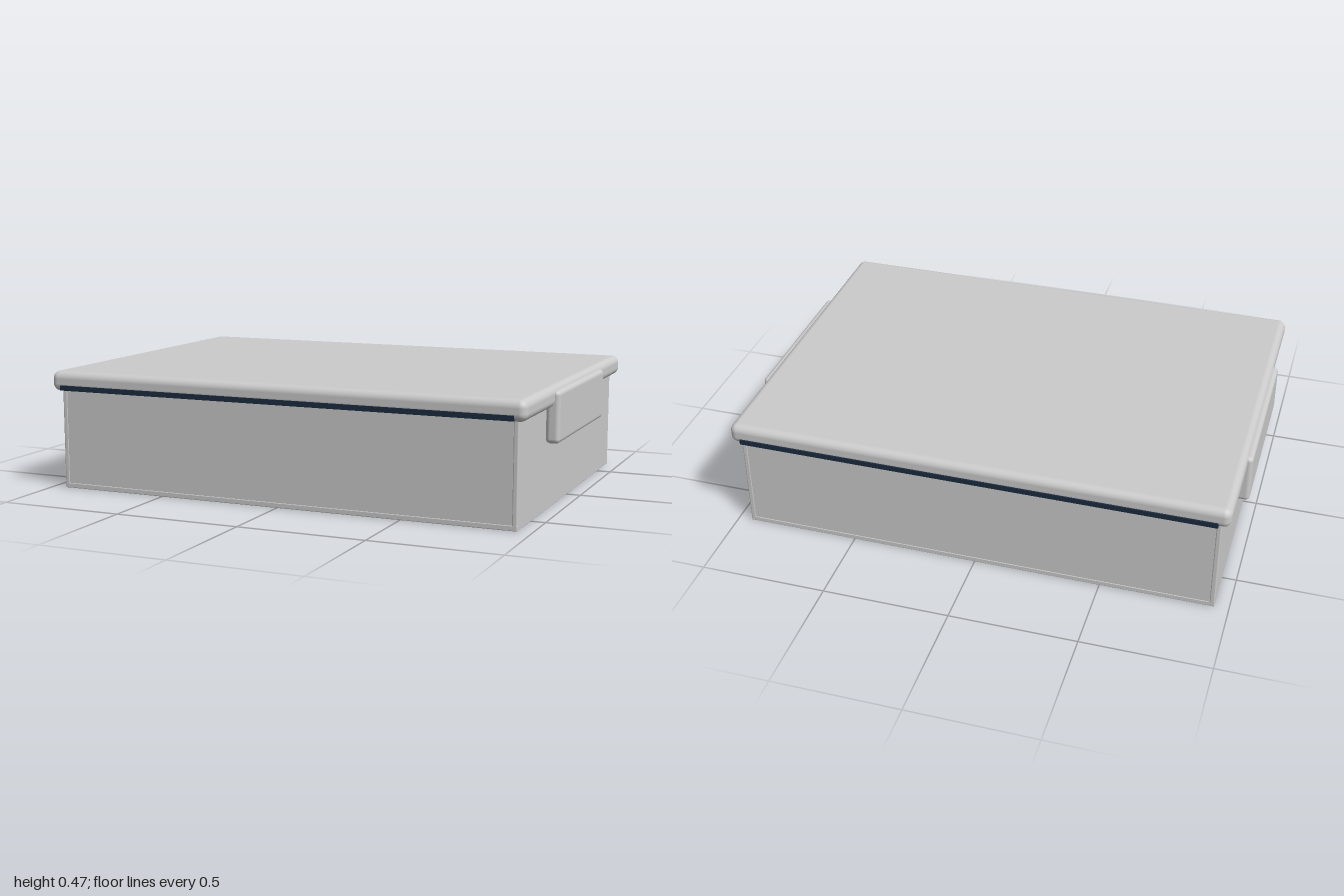
import * as THREE from 'three';
import { RoundedBoxGeometry } from 'three/addons/geometries/RoundedBoxGeometry.js';

const grey = new THREE.MeshStandardMaterial({ color: 0xcccccc });
const navy = new THREE.MeshStandardMaterial({ color: 0x1c2c40 });

export function createModel() {
  const model = new THREE.Group();

  // Adds a box with softened edges, centred on (x, y, z)
  function part(name, [w, h, d], [x, y, z], radius, material = grey) {
    const geometry = radius
      ? new RoundedBoxGeometry(w, h, d, 4, radius)
      : new THREE.BoxGeometry(w, h, d);
    const mesh = new THREE.Mesh(geometry, material);
    mesh.name = name;
    mesh.position.set(x, y, z);
    model.add(mesh);
  }

  // Tray: floor with four walls
  part('floor', [1.89, 0.02, 1.35], [0, 0.01, 0], 0.003);
  for (const s of [1, -1]) {
    const side = s > 0 ? 'left' : 'right';
    const end = s > 0 ? 'front' : 'back';
    part(side + 'Wall', [0.02, 0.42, 1.35], [s * 0.935, 0.21, 0], 0.005);
    part(end + 'Wall', [1.86, 0.41, 0.02], [0, 0.21, s * 0.663], 0.005);

    // Clip handles hanging from the lid at each side
    part(side + 'Handle', [0.055, 0.2, 0.68], [s * 0.9725, 0.36, 0], 0.018);

    // Dark trim under the lid's front and back edges
    part(end + 'Trim', [1.87, 0.02, 0.02], [0, 0.41, s * 0.7], 0, navy);
  }

  // Lid with rounded rim
  part('lid', [1.96, 0.08, 1.41], [0, 0.435, 0], 0.03);

  return model;
}
